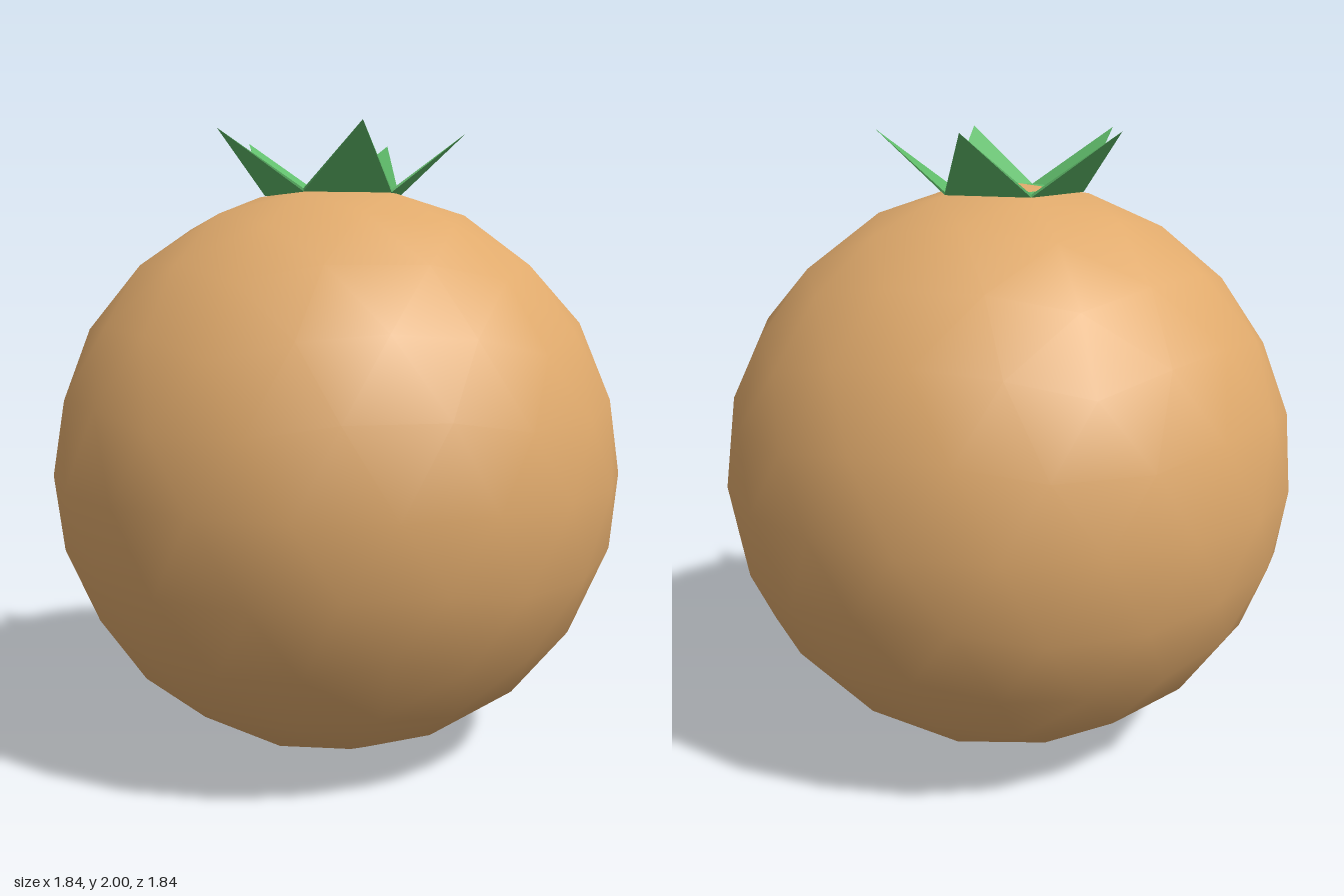
import * as THREE from 'three';

const RADIUS = 0.92;

// Point on a horizontal ring, angle counted in fifths of a turn, counterclockwise from above
function ringPoint(r, y, fifth) {
  const a = (fifth * Math.PI * 2) / 5;
  return [r * Math.cos(a), y, -r * Math.sin(a)];
}

// Icosphere with a vertex at each pole, halved twice
function fruitGeometry() {
  const h = 1 / Math.sqrt(5), r = 2 * h;
  const verts = [0, 1, 0, 0, -1, 0];
  for (let k = 0; k < 5; k++) verts.push(...ringPoint(r, h, k));
  for (let k = 0; k < 5; k++) verts.push(...ringPoint(r, -h, k + 0.5));
  const faces = [];
  for (let k = 0; k < 5; k++) {
    const n = (k + 1) % 5;
    const u = 2 + k, un = 2 + n, l = 7 + k, ln = 7 + n;
    faces.push(0, u, un, u, l, un, l, ln, un, 1, ln, l);
  }
  const once = new THREE.PolyhedronGeometry(verts, faces, 1, 1).getAttribute('position');
  const order = Array.from({ length: once.count }, (_, i) => i);
  return new THREE.PolyhedronGeometry(once.array, order, RADIUS, 1);
}

// Thin five-pointed crown: a flat pentagon whose edges carry upturned leaves
function crownGeometry() {
  const top = 1.818, bottom = 1.809;
  const pos = [];
  const tri = (...points) => points.forEach((p) => pos.push(...p));
  for (let k = 0; k < 5; k++) {
    const a = ringPoint(0.235, top, k), b = ringPoint(0.235, top, k + 1);
    const aLow = ringPoint(0.235, bottom, k), bLow = ringPoint(0.235, bottom, k + 1);
    const tip = ringPoint(0.415, 2, k + 0.5);
    tri([0, top, 0], a, b); // base
    tri([0, bottom, 0], bLow, aLow);
    tri(a, tip, b); // leaf, inner and outer side
    tri(bLow, tip, aLow);
    tri(aLow, tip, a); // leaf edges
    tri(b, tip, bLow);
  }
  const geo = new THREE.BufferGeometry();
  geo.setAttribute('position', new THREE.Float32BufferAttribute(pos, 3));
  geo.computeVertexNormals();
  return geo;
}

export function createModel() {
  const group = new THREE.Group();
  group.name = 'fruit';

  const body = new THREE.Mesh(fruitGeometry(), new THREE.MeshStandardMaterial({ color: 0xe0aa6c }));
  body.name = 'fruitBody';
  body.position.y = RADIUS;
  group.add(body);

  const crown = new THREE.Mesh(
    crownGeometry(),
    new THREE.MeshStandardMaterial({ color: 0x60bd6b, side: THREE.DoubleSide })
  );
  crown.name = 'leafCrown';
  group.add(crown);

  return group;
}
